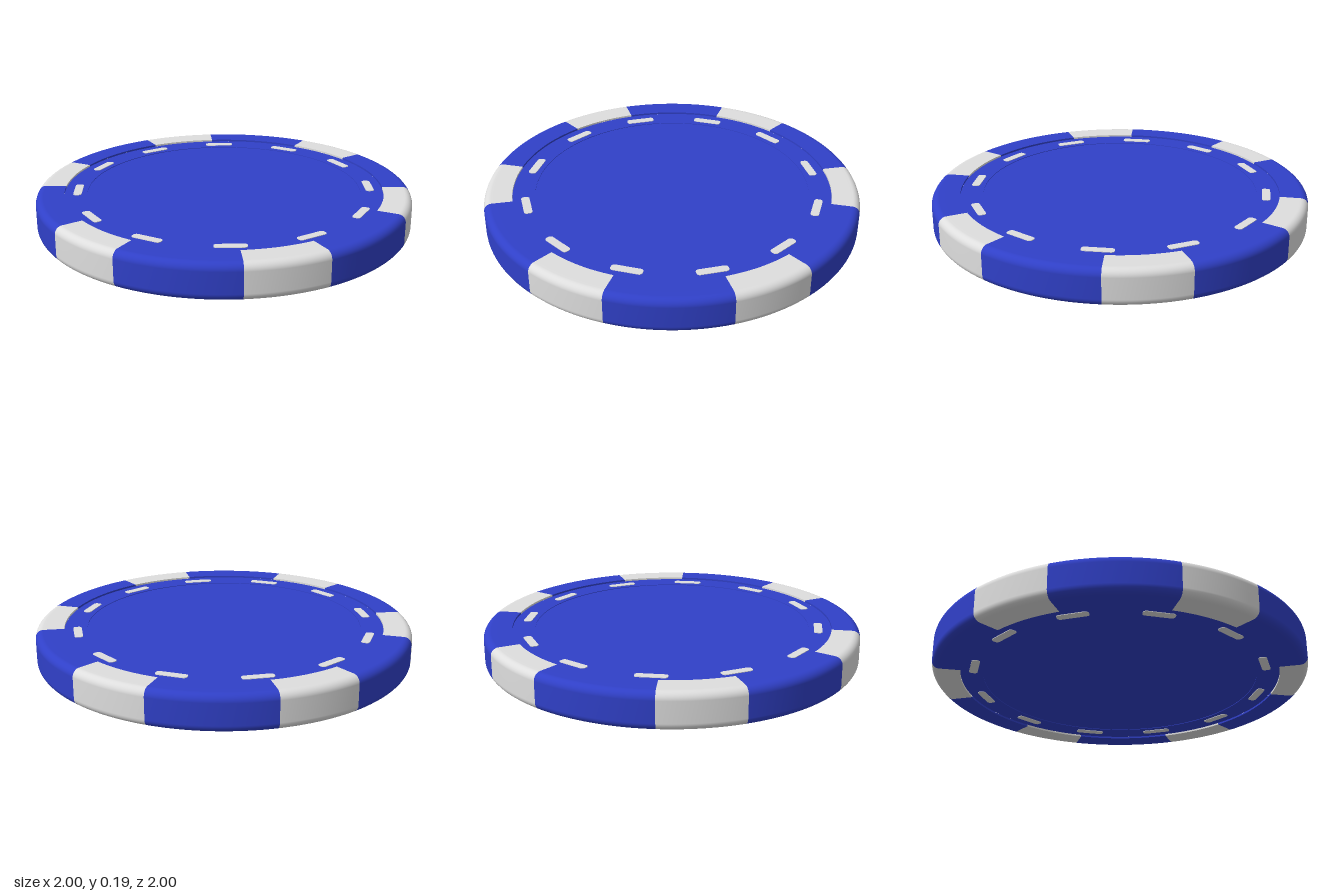
import * as THREE from 'three';

const HEIGHT = 0.19, RIM_INNER = 0.85, DISC_RADIUS = 0.73, FILLET = 0.04;
const RING_Y = 0.18, DISC_Y = 0.177;
const rad = THREE.MathUtils.degToRad;

export function createModel() {
  const blue = new THREE.MeshStandardMaterial({ color: 0x3040c8 });
  blue.name = 'chip blue';
  const white = new THREE.MeshStandardMaterial({ color: 0xdedede });
  white.name = 'inlay white';

  const chip = new THREE.Group();
  chip.name = 'chip';

  const lathe = (name, points, material, segments, start, sweep, parent) => {
    const profile = points.map(([r, y]) => new THREE.Vector2(r, y));
    const mesh = new THREE.Mesh(new THREE.LatheGeometry(profile, segments, start, sweep), material);
    mesh.name = name;
    parent.add(mesh);
  };

  // Rim profile: flat bottom, rounded edge, side, rounded edge, flat top
  const rimProfile = [[RIM_INNER, 0], [0.93, 0]];
  for (const [centreY, from] of [[FILLET, -90], [HEIGHT - FILLET, 0]]) {
    for (let i = 0; i <= 8; i++) {
      const a = rad(from + (90 * i) / 8);
      rimProfile.push([1 - FILLET + FILLET * Math.cos(a), centreY + FILLET * Math.sin(a)]);
    }
  }
  rimProfile.push([0.93, HEIGHT], [RIM_INNER, HEIGHT]);

  // Six white edge spots alternating with blue rim sections
  const half = 12.2;
  const addSection = (name, material, from, to, segments) => {
    const start = rad(from), sweep = rad(to - from);
    lathe(name, rimProfile, material, segments, start, sweep, chip);
    lathe(name + 'UpperLip', [[RIM_INNER, HEIGHT], [RIM_INNER, RING_Y]], material, segments, start, sweep, chip);
    lathe(name + 'LowerLip', [[RIM_INNER, HEIGHT - RING_Y], [RIM_INNER, 0]], material, segments, start, sweep, chip);
  };
  for (let k = 0; k < 6; k++) {
    addSection('edgeSpot', white, 60 * k - half, 60 * k + half, 12);
    addSection('rimSection', blue, 60 * k + half, 60 * k + 60 - half, 16);
  }

  // Rounded dash, laid flat with its length along x
  const L = 0.08, W = 0.022, R = 0.016;
  const shape = new THREE.Shape();
  shape.moveTo(-L + R, -W);
  shape.lineTo(L - R, -W);
  shape.absarc(L - R, -W + R, R, -Math.PI / 2, 0);
  shape.absarc(L - R, W - R, R, 0, Math.PI / 2);
  shape.absarc(-L + R, W - R, R, Math.PI / 2, Math.PI);
  shape.absarc(-L + R, -W + R, R, Math.PI, Math.PI * 1.5);
  const dashGeometry = new THREE.ExtrudeGeometry(shape, { depth: 0.003, bevelEnabled: false, curveSegments: 5 });
  dashGeometry.rotateX(-Math.PI / 2);

  // One face: ring, small step, centre disc and twelve dashes
  const makeFace = (name) => {
    const face = new THREE.Group();
    face.name = name;
    const y = (v) => v - HEIGHT / 2;
    const full = Math.PI * 2;
    lathe('faceRing', [[RIM_INNER, y(RING_Y)], [DISC_RADIUS, y(RING_Y)]], blue, 128, 0, full, face);
    lathe('discStep', [[DISC_RADIUS, y(RING_Y)], [DISC_RADIUS, y(DISC_Y)]], blue, 128, 0, full, face);
    lathe('centreDisc', [[DISC_RADIUS, y(DISC_Y)], [0, y(DISC_Y)]], blue, 128, 0, full, face);
    for (let k = 0; k < 12; k++) {
      const a = rad(15 + 30 * k);
      const dash = new THREE.Mesh(dashGeometry, white);
      dash.name = 'dash';
      dash.position.set(0.78 * Math.sin(a), y(RING_Y), 0.78 * Math.cos(a));
      dash.rotation.y = a;
      face.add(dash);
    }
    face.position.y = HEIGHT / 2;
    chip.add(face);
    return face;
  };
  makeFace('topFace');
  makeFace('bottomFace').rotation.z = Math.PI;

  // Turn the pattern to its resting angle
  chip.rotation.y = rad(10);
  const model = new THREE.Group();
  model.name = 'gamingChip';
  model.add(chip);
  return model;
}
